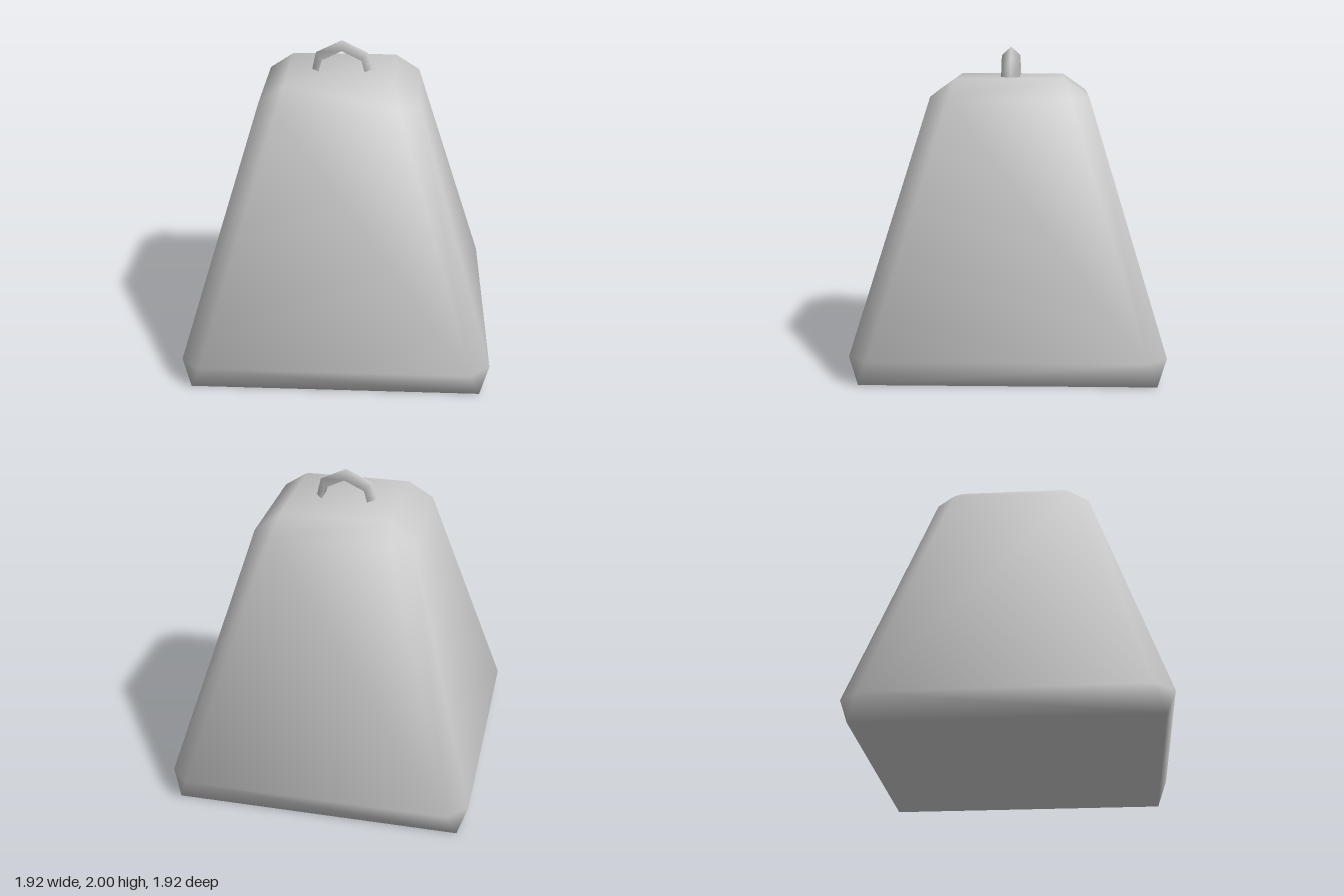
import * as THREE from 'three';
import { ConvexGeometry } from 'three/addons/geometries/ConvexGeometry.js';
import { mergeVertices } from 'three/addons/utils/BufferGeometryUtils.js';

const material = new THREE.MeshStandardMaterial({ color: 0xcccccc, side: THREE.DoubleSide });

// Smooth vertex normals, each face weighted by its corner angle
function smoothByAngle(geometry) {
  const pos = geometry.attributes.position;
  const index = geometry.index.array;
  const sums = Array.from({ length: pos.count }, () => new THREE.Vector3());
  for (let f = 0; f < index.length; f += 3) {
    const ids = [0, 1, 2].map((k) => index[f + k]);
    const p = ids.map((id) => new THREE.Vector3().fromBufferAttribute(pos, id));
    const normal = p[1].clone().sub(p[0]).cross(p[2].clone().sub(p[0])).normalize();
    ids.forEach((id, k) => {
      const a = p[(k + 1) % 3].clone().sub(p[k]);
      const b = p[(k + 2) % 3].clone().sub(p[k]);
      sums[id].addScaledVector(normal, a.angleTo(b));
    });
  }
  const normals = sums.flatMap((n) => n.normalize().toArray());
  geometry.setAttribute('normal', new THREE.Float32BufferAttribute(normals, 3));
  return geometry;
}

// Tapered block with every edge and corner bevelled
function weightBody() {
  const points = [];
  for (const sx of [-1, 1]) {
    for (const sz of [-1, 1]) {
      const add = (x, y, z) => points.push(new THREE.Vector3(sx * x, y, sz * z));
      add(0.9, 0, 0.9);
      add(0.96, 0.16, 0.84);
      add(0.84, 0.16, 0.96);
      add(0.495, 1.7, 0.375);
      add(0.375, 1.7, 0.495);
      add(0.34, 1.81, 0.34);
    }
  }
  const hull = new ConvexGeometry(points);
  hull.deleteAttribute('normal');
  return smoothByAngle(mergeVertices(hull, 1e-4));
}

// Arched loop with a triangular section, its ridge facing outward
function handleLoop() {
  const outer = [[-0.192, 1.8], [-0.165, 1.92], [0, 2], [0.165, 1.92], [0.192, 1.8]];
  const inner = [[-0.148, 1.8], [-0.125, 1.885], [0, 1.945], [0.125, 1.885], [0.148, 1.8]];
  const vertices = [];
  const indices = [];
  outer.forEach(([x, y], i) => {
    const [u, v] = inner[i];
    vertices.push(x, y, 0, u, v, 0.06, u, v, -0.06);
    if (i === outer.length - 1) return;
    for (let k = 0; k < 3; k++) {
      const a = i * 3 + k;
      const b = i * 3 + ((k + 1) % 3);
      indices.push(a, b, b + 3, a, b + 3, a + 3);
    }
  });
  const geometry = new THREE.BufferGeometry();
  geometry.setAttribute('position', new THREE.Float32BufferAttribute(vertices, 3));
  geometry.setIndex(indices);
  return smoothByAngle(geometry);
}

export function createModel() {
  const group = new THREE.Group();
  group.name = 'weight';
  for (const [name, geometry] of [['body', weightBody()], ['handle', handleLoop()]]) {
    const mesh = new THREE.Mesh(geometry, material);
    mesh.name = name;
    group.add(mesh);
  }
  return group;
}
